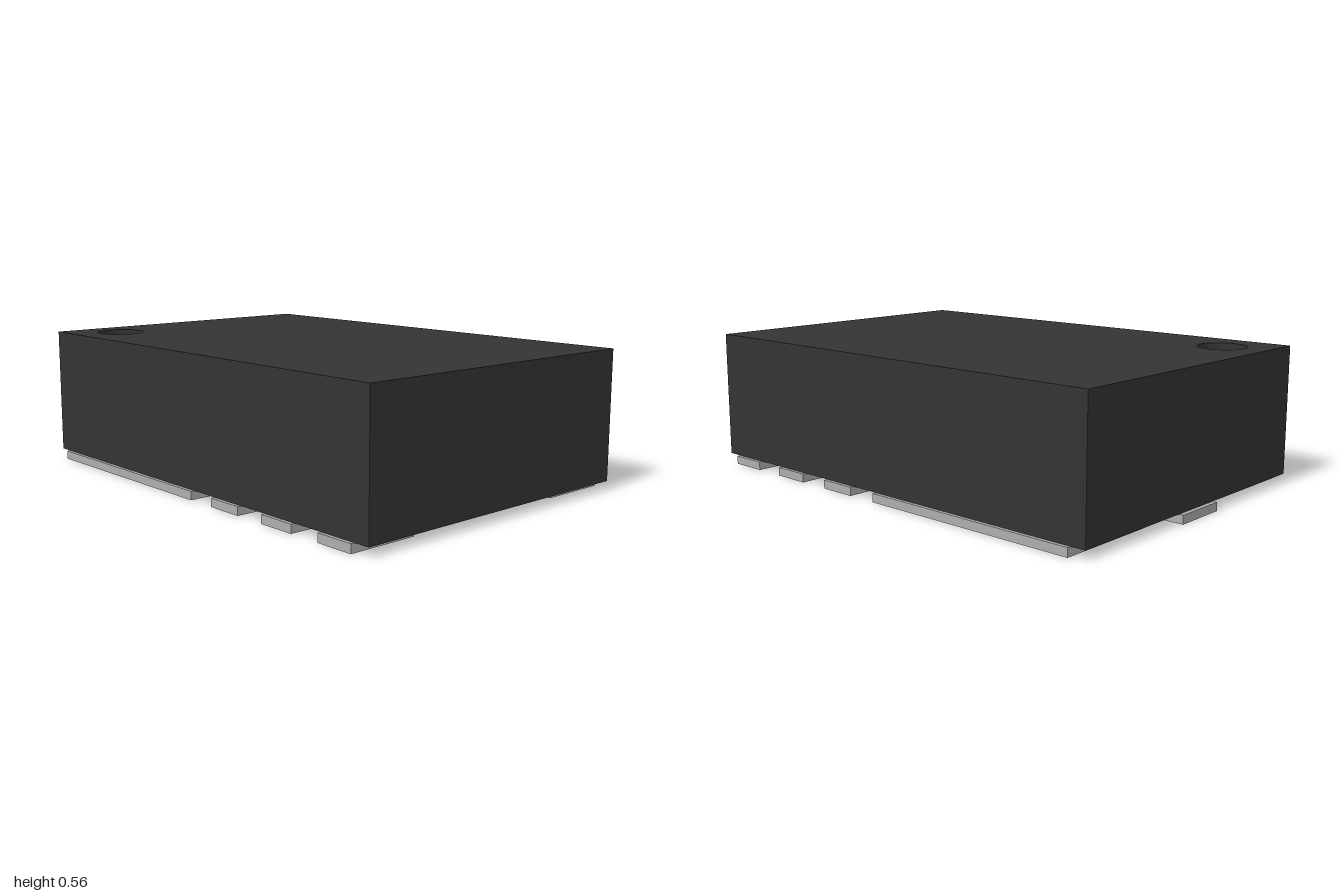
import * as THREE from 'three';

const BODY = { x0: -0.982, x1: 1, y0: 0.035, y1: 0.565, z: 0.66 };
const DOT = { x: -0.79, z: 0.46, r: 0.1, depth: 0.065 };

export function createModel() {
  const model = new THREE.Group();
  model.name = 'chipPackage';

  const casing = new THREE.MeshStandardMaterial({ color: 0x343434, side: THREE.DoubleSide });
  casing.name = 'black casing';
  const metal = new THREE.MeshStandardMaterial({ color: 0xacadb0 });
  metal.name = 'grey metal';

  const add = (name, geometry, material, x = 0, y = 0, z = 0) => {
    const mesh = new THREE.Mesh(geometry, material);
    mesh.name = name;
    mesh.position.set(x, y, z);
    model.add(mesh);
    return mesh;
  };

  // Casing walls and underside: a box without its top face
  const { x0, x1, y0, y1, z } = BODY;
  const walls = new THREE.BoxGeometry(x1 - x0, y1 - y0, z * 2);
  const top = walls.groups[2];
  walls.setIndex([...walls.index.array].filter((_, i) => i < top.start || i >= top.start + top.count));
  walls.clearGroups();
  add('casingWalls', walls, casing, (x0 + x1) / 2, (y0 + y1) / 2, 0);

  // Casing top, pierced by the round pin-one recess
  const outline = new THREE.Shape();
  outline.moveTo(x0, -z).lineTo(x1, -z).lineTo(x1, z).lineTo(x0, z).closePath();
  const hole = new THREE.Path();
  hole.absarc(DOT.x, -DOT.z, DOT.r, 0, Math.PI * 2, true);
  outline.holes.push(hole);
  const lid = new THREE.ShapeGeometry(outline, 24).rotateX(-Math.PI / 2);
  add('casingTop', lid, casing, 0, y1, 0);

  // Recess wall and its grey floor
  const recess = new THREE.CylinderGeometry(DOT.r, DOT.r, DOT.depth, 48, 1, true);
  add('recessWall', recess, casing, DOT.x, y1 - DOT.depth / 2, DOT.z);
  const floor = new THREE.CircleGeometry(DOT.r, 48).rotateX(-Math.PI / 2);
  add('recessFloor', floor, metal, DOT.x, y1 - DOT.depth, DOT.z);

  // Contact pads under the casing
  const pad = (name, xa, xb, za, zb) => add(
    name, new THREE.BoxGeometry(xb - xa, y0, zb - za), metal,
    (xa + xb) / 2, y0 / 2, (za + zb) / 2);

  pad('centrePad', -1, 0.05, -0.115, 0.115);
  for (const [side, s] of [['front', 1], ['back', -1]]) {
    const mirrored = (name, xa, xb, inner, outer) =>
      pad(name, xa, xb, Math.min(s * inner, s * outer), Math.max(s * inner, s * outer));
    mirrored(side + 'LargePad', -0.92, 0.04, 0.25, 0.675);
    for (let i = 0; i < 3; i++) {
      const xa = 0.17 + i * 0.3;
      mirrored(side + 'SmallPad' + (i + 1), xa, xa + 0.163, 0.38, 0.675);
    }
  }

  return model;
}
